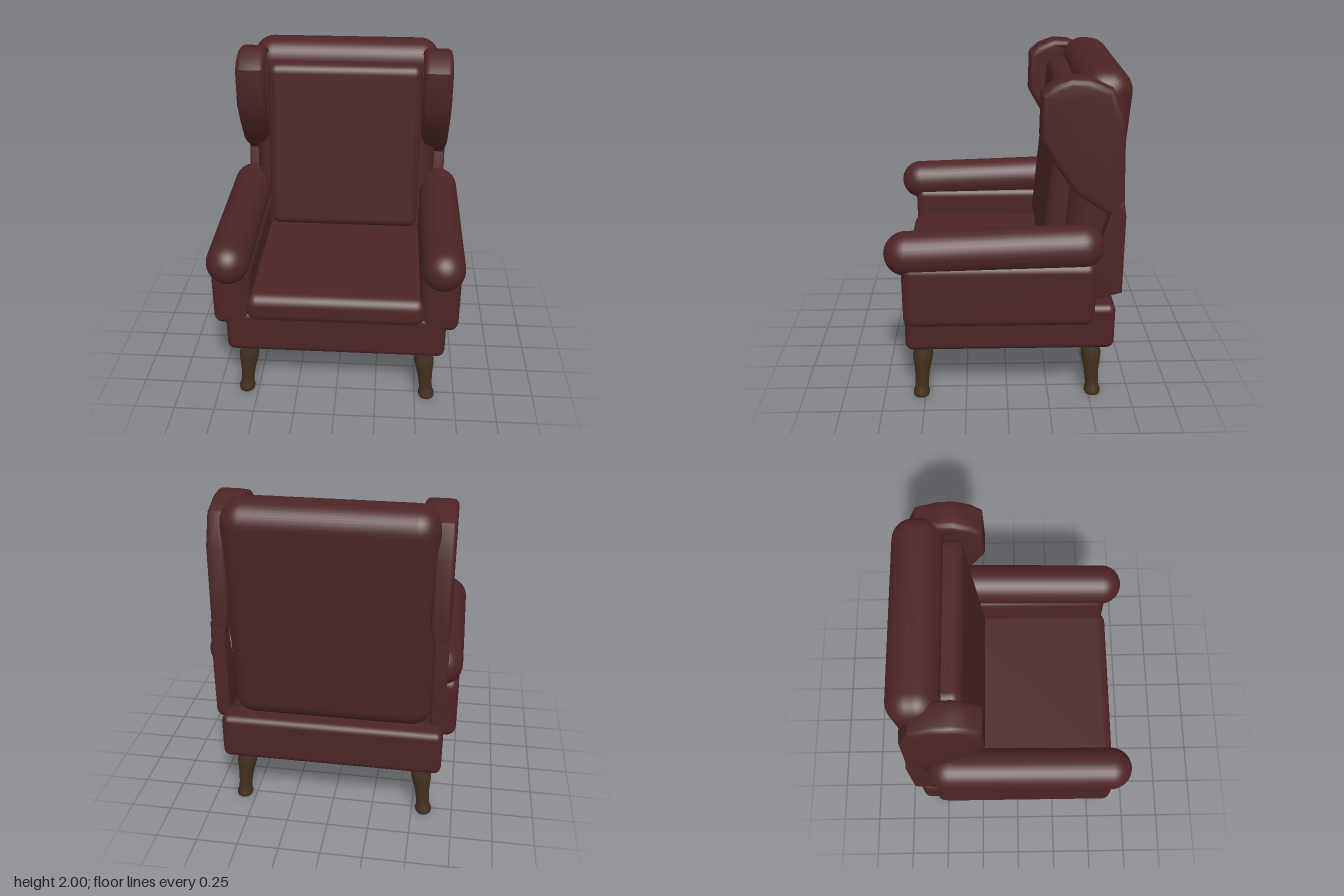
import * as THREE from 'three';
import { RoundedBoxGeometry } from 'three/addons/geometries/RoundedBoxGeometry.js';
import { toCreasedNormals } from 'three/addons/utils/BufferGeometryUtils.js';

const fabric = new THREE.MeshStandardMaterial({ color: 0x4c2426 });
fabric.name = 'oxblood fabric';
const wood = new THREE.MeshStandardMaterial({ color: 0x41301f });
wood.name = 'dark wood';

function add(parent, name, geometry, material, x = 0, y = 0, z = 0) {
  const mesh = new THREE.Mesh(geometry, material);
  mesh.name = name;
  mesh.position.set(x, y, z);
  parent.add(mesh);
  return mesh;
}

const pad = (w, h, d, r) => new RoundedBoxGeometry(w, h, d, 5, r);

// Side outline given as [z, y] pairs, thickened along x from x0 to x1 with a soft bevel
function sidePanel(outline, x0, x1, bevel) {
  const shape = new THREE.Shape(outline.map(([z, y]) => new THREE.Vector2(-z, y)));
  const geometry = new THREE.ExtrudeGeometry(shape, {
    depth: x1 - x0 - 2 * bevel, bevelEnabled: true, bevelThickness: bevel,
    bevelSize: bevel, bevelOffset: -bevel, bevelSegments: 4,
  });
  geometry.rotateY(Math.PI / 2);
  geometry.translate(x0 + bevel, 0, 0);
  return geometry;
}

// Wing: thick beside the head, thinning outward towards its lower tip
function wingGeometry() {
  const geometry = sidePanel([
    [-0.175, 1.65], [-0.18, 1.89], [-0.24, 1.945], [-0.335, 1.98], [-0.43, 1.975],
    [-0.56, 1.92], [-0.63, 1.74], [-0.645, 1.35], [-0.655, 1.19], [-0.6, 1.19],
    [-0.37, 1.34], [-0.26, 1.5],
  ], 0.49, 0.672, 0.035);
  const p = geometry.attributes.position;
  for (let i = 0; i < p.count; i++) {
    const t = THREE.MathUtils.clamp((1.38 - p.getY(i)) / 0.14, 0, 1);
    const back = THREE.MathUtils.clamp((-0.43 - p.getZ(i)) / 0.12, 0, 1);
    const inner = 0.49 + 0.1 * Math.max(t, back * 0.7);
    p.setX(i, inner + (p.getX(i) - 0.49) * (0.672 - inner) / 0.182);
  }
  return toCreasedNormals(geometry, 0.6);
}

// Turned leg, leaning outward to the foot
function legGeometry(sx, sz) {
  const profile = [[0, 0], [0.046, 0], [0.05, 0.012], [0.049, 0.03], [0.041, 0.05],
    [0.041, 0.09], [0.045, 0.16], [0.051, 0.2], [0.06, 0.25], [0.062, 0.275],
    [0.057, 0.3], [0.058, 0.37], [0, 0.37]];
  const geometry = new THREE.LatheGeometry(profile.map(([r, y]) => new THREE.Vector2(r, y)), 20);
  const p = geometry.attributes.position;
  for (let i = 0; i < p.count; i++) {
    const lean = 1 - p.getY(i) / 0.37;
    p.setX(i, p.getX(i) + sx * 0.035 * lean);
    p.setZ(i, p.getZ(i) + sz * 0.022 * lean);
  }
  geometry.computeVertexNormals();
  return toCreasedNormals(geometry, 0.7);
}

export function createModel() {
  const chair = new THREE.Group();
  chair.name = 'wingArmchair';

  // Seat
  add(chair, 'seatBase', pad(1.335, 0.29, 1.24, 0.045), fabric, 0, 0.497, -0.015);
  add(chair, 'seatCushion', pad(1.09, 0.19, 1.1, 0.07), fabric, 0, 0.665, 0.07);

  // Reclined back and its loose cushion
  const back = add(chair, 'backrest', pad(1.19, 1.37, 0.29, 0.125), fabric, 0, 1.317, -0.5);
  back.rotation.x = -0.075;
  const cushion = add(chair, 'backCushion', pad(0.98, 1.1, 0.2, 0.06), fabric, 0, 1.34, -0.345);
  cushion.rotation.x = -0.085;

  // Wing, lower flap, arm and legs on both sides
  const wing = wingGeometry();
  const flap = toCreasedNormals(sidePanel([
    [-0.66, 0.73], [-0.5, 0.69], [-0.5, 0.95], [-0.58, 1.25], [-0.645, 1.3], [-0.66, 1.2],
  ], 0.59, 0.672, 0.012), 0.6);
  const roll = new THREE.CapsuleGeometry(0.127, 1.0, 12, 32);
  const armPad = pad(0.235, 0.395, 1.11, 0.055);
  for (const s of [-1, 1]) {
    const side = new THREE.Group();
    side.name = s > 0 ? 'leftSide' : 'rightSide';
    chair.add(side);

    for (const [name, source] of [['wing', wing], ['wingFlap', flap]]) {
      const geometry = source.clone();
      if (s < 0) mirrorX(geometry);
      add(side, name, geometry, fabric);
    }
    add(side, 'armPanel', armPad, fabric, s * 0.622, 0.742, 0.05);
    const arm = add(side, 'armRoll', roll, fabric, s * 0.628, 0.995, 0.077);
    arm.rotation.x = Math.PI / 2 + 0.033;
    for (const f of [-1, 1]) {
      add(side, f > 0 ? 'frontLeg' : 'backLeg', legGeometry(s, f), wood, s * 0.54, 0, f * 0.505);
    }
  }
  return chair;
}

// Flip an unindexed geometry across x, keeping its faces outward
function mirrorX(geometry) {
  for (const attribute of [geometry.attributes.position, geometry.attributes.normal]) {
    const v = attribute.array;
    for (let i = 0; i < v.length; i += 9) {
      for (let k = 0; k < 3; k++) {
        [v[i + 3 + k], v[i + 6 + k]] = [v[i + 6 + k], v[i + 3 + k]];
        v[i + 3 * k] *= 1;
      }
      for (let k = 0; k < 3; k++) v[i + 3 * k] *= -1;
    }
  }
}
